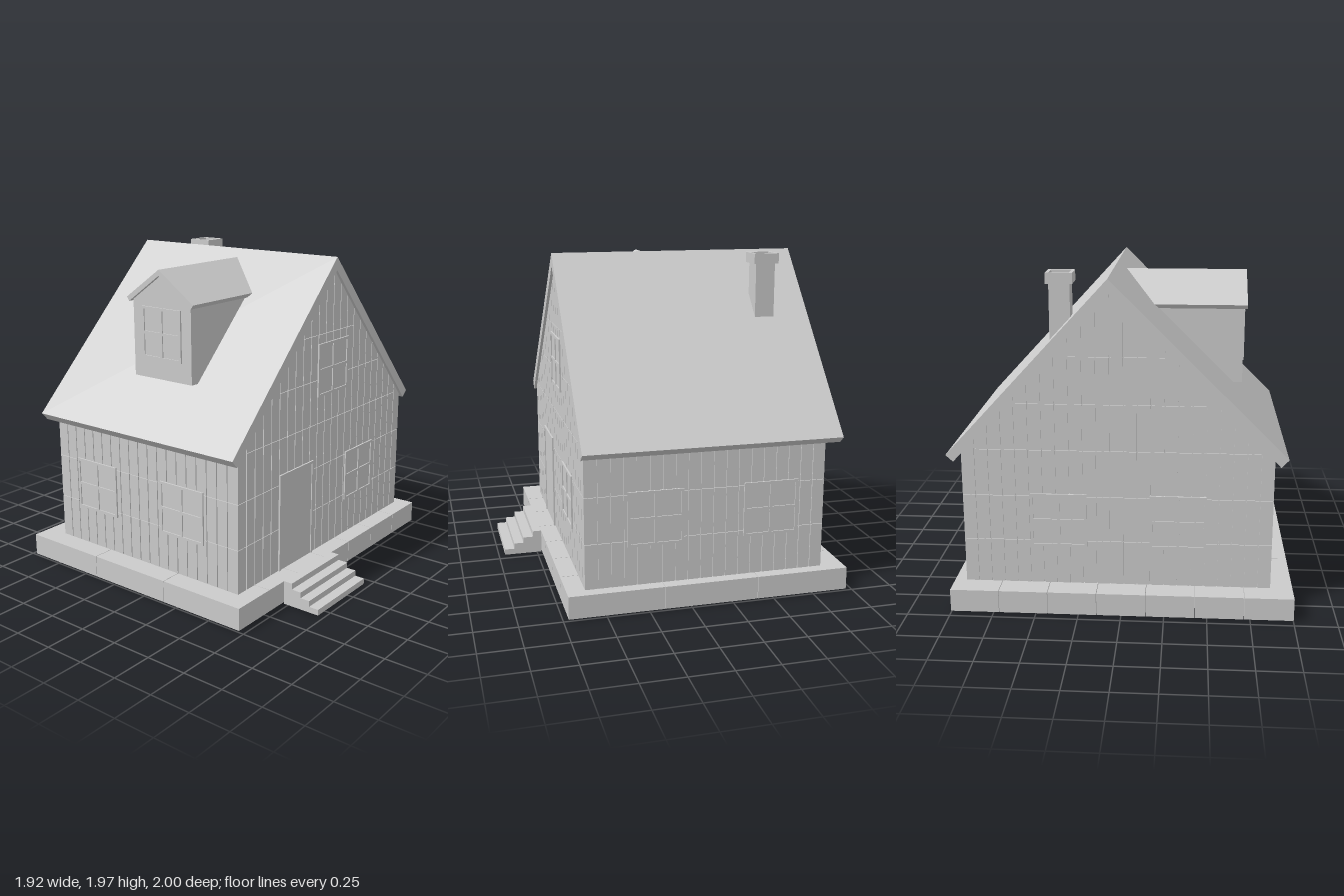
import * as THREE from 'three';
import { mergeGeometries } from 'three/addons/utils/BufferGeometryUtils.js';

const material = new THREE.MeshStandardMaterial({ color: 0xcccccc, flatShading: true });
const RIDGE_Z = -0.07;

// height of the roof's underside at depth z
const roofUnder = z => 1.885 - (z > RIDGE_Z ? (z - RIDGE_Z) * 1.0 : (RIDGE_Z - z) * 1.096);

function add(parent, name, geometry, x = 0, y = 0, z = 0) {
  const mesh = new THREE.Mesh(geometry, material);
  mesh.name = name;
  mesh.position.set(x, y, z);
  parent.add(mesh);
  return mesh;
}

// box given by its limits
function block(x0, x1, y0, y1, z0, z1) {
  return new THREE.BoxGeometry(x1 - x0, y1 - y0, z1 - z0)
    .translate((x0 + x1) / 2, (y0 + y1) / 2, (z0 + z1) / 2);
}

const outline = points => new THREE.Shape(points.map(p => new THREE.Vector2(...p)));
const rect = (x0, y0, x1, y1) => [[x0, y0], [x1, y0], [x1, y1], [x0, y1]];

function extrude(points, depth, holes = []) {
  const shape = outline(points);
  shape.holes = holes.map(h => new THREE.Path(h.map(p => new THREE.Vector2(...p)).reverse()));
  return new THREE.ExtrudeGeometry(shape, { depth, bevelEnabled: false });
}

// profile of [z, y] points swept along x
function extrudeAlongX(profile, x0, x1) {
  return extrude(profile.map(([z, y]) => [-z, y]), x1 - x0).rotateY(Math.PI / 2).translate(x0, 0, 0);
}

// group whose local x runs along a wall and local z points outward
function wallFace(parent, name, angle, offset) {
  const face = new THREE.Group();
  face.name = name;
  face.rotation.y = angle;
  face.position.set(Math.sin(angle) * offset, 0, Math.cos(angle) * offset);
  parent.add(face);
  return face;
}

// vertical cladding boards with narrow gaps, cut to the roof line
function addBoards(face, start, end, count, topAt) {
  const gap = 0.003, pitch = (end - start) / count, pieces = [];
  for (let i = 0; i < count; i++) {
    const a = start + i * pitch + (i ? gap : 0);
    const b = start + (i + 1) * pitch - (i < count - 1 ? gap : 0);
    const low = Math.min(topAt(a), topAt(b));
    const cuts = [0.145, 0.415, 0.69, 0.97, 1.245, 1.52].filter(y => y < low - 0.04);
    cuts.forEach((y, k) => {
      const last = k === cuts.length - 1;
      const ya = last ? topAt(a) : cuts[k + 1] - gap;
      const yb = last ? topAt(b) : cuts[k + 1] - gap;
      pieces.push(extrude([[a, y], [b, y], [b, yb], [a, ya]], 0.012).translate(0, 0, -0.012));
    });
  }
  add(face, 'boards', mergeGeometries(pieces));
}

// four-pane window
function addWindow(face, u, y, w = 0.33, h = 0.325) {
  const win = new THREE.Group();
  win.name = 'window';
  win.position.set(u, y, 0);
  const bar = 0.016, x = w / 2, t = h / 2, m = bar / 2;
  const holes = [];
  for (const [x0, x1] of [[-x + bar, -m], [m, x - bar]])
    for (const [y0, y1] of [[-t + bar, -m], [m, t - bar]]) holes.push(rect(x0, y0, x1, y1));
  add(win, 'windowFrame', extrude(rect(-x, -t, x, t), 0.018, holes), 0, 0, -0.008);
  add(win, 'windowPanes', block(-x + 0.005, x - 0.005, -t + 0.005, t - 0.005, -0.008, 0.003));
  face.add(win);
}

function addFoundation(house) {
  // slabs in a 3 x 7 grid
  const slabs = [], g = 0.0015, nx = 3, nz = 7;
  for (let i = 0; i < nx; i++) for (let j = 0; j < nz; j++) {
    const x0 = -0.96 + i * 1.68 / nx, z0 = -1 + j * 2 / nz;
    slabs.push(block(x0 + (i ? g : 0), x0 + 1.68 / nx - (i < nx - 1 ? g : 0), 0.01, 0.145,
      z0 + (j ? g : 0), z0 + 2 / nz - (j < nz - 1 ? g : 0)));
  }
  add(house, 'foundation', mergeGeometries(slabs));

  // entrance steps
  const steps = [[0.72, 0], [0.96, 0], [0.96, 0.036], [0.898, 0.036], [0.898, 0.072],
    [0.838, 0.072], [0.838, 0.108], [0.775, 0.108], [0.775, 0.145], [0.72, 0.145]];
  add(house, 'steps', extrude(steps, 0.51), 0, 0, 0.06);
}

function addWalls(house) {
  add(house, 'wallCore', extrudeAlongX([[0.862, 0.14], [0.862, roofUnder(0.862)],
    [RIDGE_Z, 1.885], [-0.922, roofUnder(-0.922)], [-0.922, 0.14]], -0.812, 0.605));

  const front = wallFace(house, 'frontWall', 0, 0.87);
  const back = wallFace(house, 'backWall', Math.PI, 0.93);
  const right = wallFace(house, 'doorWall', Math.PI / 2, 0.613);
  const left = wallFace(house, 'plainWall', -Math.PI / 2, 0.82);

  addBoards(front, -0.82, 0.613, 19, () => 0.94);
  addBoards(back, -0.613, 0.82, 19, () => 0.94);
  addBoards(right, -0.87, 0.93, 23, u => roofUnder(-u));
  addBoards(left, -0.93, 0.87, 23, u => roofUnder(u));

  for (const x of [-0.49, 0.2]) {
    addWindow(front, x, 0.542);
    addWindow(back, -x, 0.542);
  }
  addWindow(right, 0.405, 0.542);
  addWindow(right, 0.07, 1.3);
  for (const z of [-0.37, 0.325]) addWindow(left, z, 0.542);

  // door with a slim surround
  add(right, 'doorFrame', extrude([[-0.48, 0.145], [-0.464, 0.145], [-0.464, 0.734], [-0.146, 0.734],
    [-0.146, 0.145], [-0.13, 0.145], [-0.13, 0.75], [-0.48, 0.75]], 0.018), 0, 0, -0.008);
  add(right, 'door', block(-0.47, -0.14, 0.145, 0.74, -0.008, 0.004));
}

function addDormer(house) {
  const dormer = new THREE.Group();
  dormer.name = 'dormer';
  dormer.position.x = -0.083;
  add(dormer, 'dormerWalls', extrude([[-0.223, 1.26], [0.223, 1.26], [0.223, 1.725],
    [0, 1.88], [-0.223, 1.725]], 0.63), 0, 0, 0.065);
  add(dormer, 'dormerRoof', extrude([[-0.257, 1.735], [-0.24, 1.71], [0, 1.88],
    [0.24, 1.71], [0.257, 1.735], [0, 1.915]], 0.735), 0, 0, -0.02);
  const face = wallFace(dormer, 'dormerFront', 0, 0.695);
  addWindow(face, 0, 1.535, 0.3, 0.31);
  house.add(dormer);
}

function addChimney(house) {
  const chimney = new THREE.Group();
  chimney.name = 'chimney';
  chimney.position.set(-0.615, 0, -0.362);
  add(chimney, 'chimneyShaft', block(-0.06, 0.06, 1.5, 1.908, -0.06, 0.06));
  // open cap
  const r = 0.077, i = 0.058;
  add(chimney, 'chimneyCap', extrude(rect(-r, -r, r, r), 0.062, [rect(-i, -i, i, i)])
    .rotateX(-Math.PI / 2), 0, 1.904, 0);
  house.add(chimney);
}

export function createModel() {
  const house = new THREE.Group();
  house.name = 'house';
  addFoundation(house);
  addWalls(house);
  // gable roof with square-cut eaves
  add(house, 'roof', extrudeAlongX([[0.94, 0.965], [0.898, 0.918], [RIDGE_Z, 1.886],
    [-0.957, 0.916], [-1, 0.955], [RIDGE_Z, 1.965]], -0.9, 0.63));
  addDormer(house);
  addChimney(house);
  return house;
}
